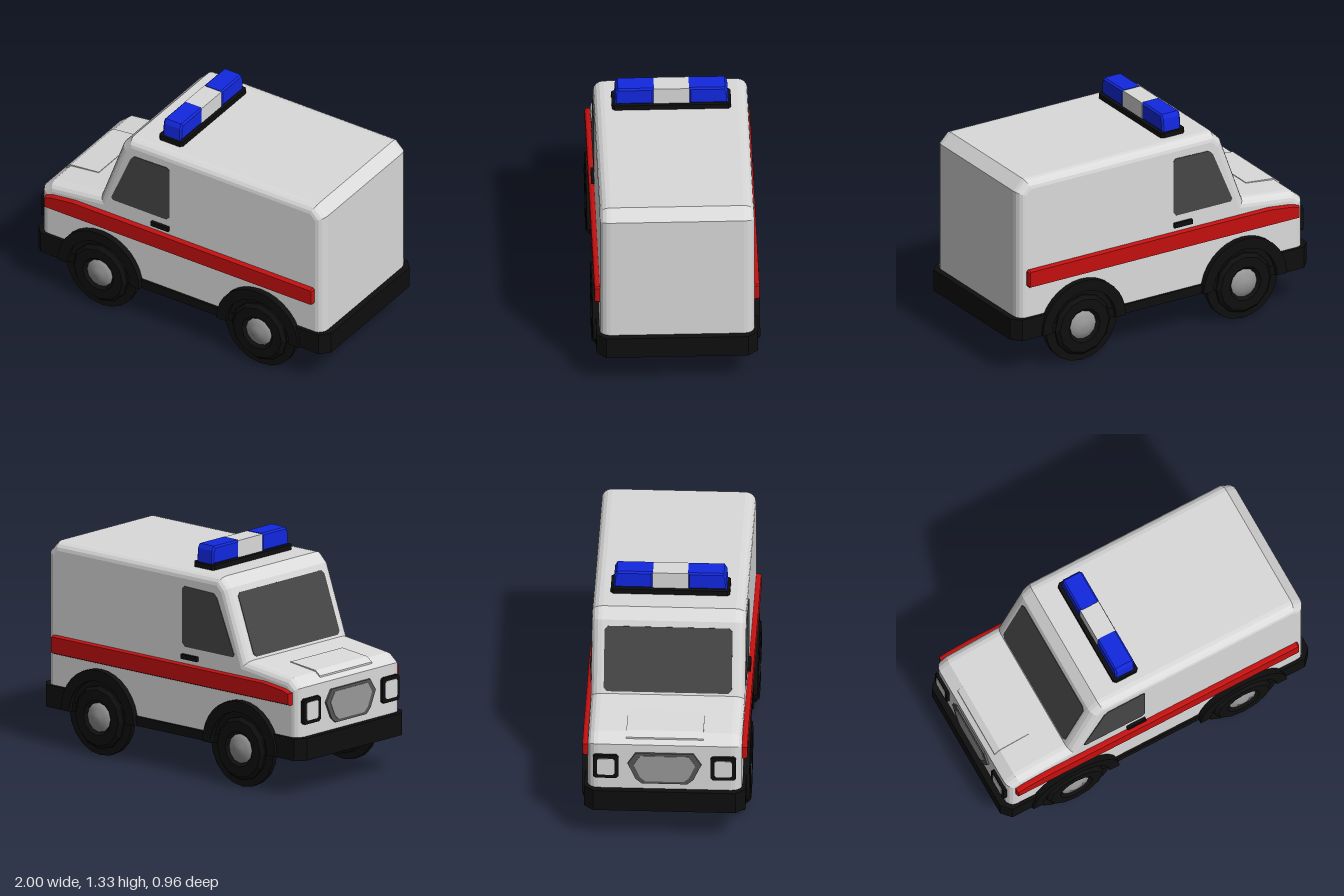
import * as THREE from 'three';

const mat = (name, color, side = THREE.FrontSide) => {
  const m = new THREE.MeshStandardMaterial({ color, side });
  m.name = name;
  return m;
};

// Extruded outline, centred on its depth; bevels stay inside the outline
function slab(pts, depth, bevel = 0, bevelDepth = bevel, segs = 1) {
  const shape = new THREE.Shape(pts.map(([x, y]) => new THREE.Vector2(x, y)));
  const g = new THREE.ExtrudeGeometry(shape, {
    depth: depth - 2 * bevelDepth, bevelEnabled: bevel > 0,
    bevelSize: bevel, bevelThickness: bevelDepth, bevelOffset: -bevel, bevelSegments: segs,
  });
  return g.translate(0, 0, bevelDepth - depth / 2);
}

// Rectangle outline with cut corners
const cutRect = (x0, y0, x1, y1, c) => [
  [x0 + c, y0], [x1 - c, y0], [x1, y0 + c], [x1, y1 - c],
  [x1 - c, y1], [x0 + c, y1], [x0, y1 - c], [x0, y0 + c],
];

export function createModel() {
  const white = mat('body white', 0xdadada);
  const black = mat('trim black', 0x0e0e0e);
  const glass = mat('dark glass', 0x464646);
  const red = mat('stripe red', 0xc41010);
  const blue = mat('beacon blue', 0x1228e0);
  const grey = mat('hub grey', 0x999999);
  const darkGrey = mat('grille frame grey', 0x555555);

  const model = new THREE.Group();
  model.name = 'van';
  const add = (name, geo, m, x = 0, y = 0, z = 0, parent = model) => {
    const mesh = new THREE.Mesh(geo, m);
    mesh.name = name;
    mesh.position.set(x, y, z);
    parent.add(mesh);
    return mesh;
  };
  // One copy on each side of the van
  const addPair = (name, geo, m, x, y, z) => {
    add('left ' + name, geo, m, x, y, z);
    add('right ' + name, geo, m, x, y, -z);
  };
  // Outline drawn in (z, y), thickness along x
  const facing = (pts, depth, bevel = 0) => slab(pts, depth, bevel).rotateY(-Math.PI / 2);

  // Body shell
  add('body', slab([
    [-0.963, 0.19], [0.963, 0.19], [0.963, 1.09], [0.9, 1.153], [-0.36, 1.153],
    [-0.418, 1.096], [-0.565, 0.692], [-0.9, 0.652], [-0.963, 0.6],
  ], 0.88, 0.05, 0.06, 4), white);
  add('hood panel', slab([
    [-0.935, 0.61], [-0.71, 0.65], [-0.71, 0.679], [-0.9, 0.66], [-0.935, 0.633],
  ], 0.44), white);

  // Underside tray and bumpers
  const tray = slab(cutRect(-0.98, -0.452, 0.98, 0.452, 0.04), 0.055).rotateX(Math.PI / 2);
  add('underside tray', tray, black, 0, 0.2085);
  const bumper = slab([
    [-1, -0.405], [-0.95, -0.46], [-0.76, -0.46], [-0.76, 0.46], [-0.95, 0.46], [-1, 0.405],
  ], 0.13).rotateX(Math.PI / 2);
  add('front bumper', bumper, black, 0, 0.245);
  add('rear bumper', bumper, black, 0, 0.245).rotation.y = Math.PI;

  // Wheels and arches
  const archShape = new THREE.Shape();
  archShape.absarc(0, 0, 0.28, 0, Math.PI, false);
  archShape.absarc(0, 0, 0.215, Math.PI, 0, true);
  const arch = new THREE.ExtrudeGeometry(archShape, { depth: 0.06, bevelEnabled: false, curveSegments: 8 })
    .translate(0, 0, -0.03);
  const well = new THREE.CylinderGeometry(0.24, 0.24, 0.03, 20).rotateX(Math.PI / 2);
  const lathe = (pts, n) => new THREE.LatheGeometry(pts.map(p => new THREE.Vector2(...p)), n).rotateX(Math.PI / 2);
  const tyre = lathe([
    [0, -0.066], [0.165, -0.066], [0.185, -0.045], [0.185, 0.045], [0.165, 0.066], [0.105, 0.066], [0.085, 0.045], [0, 0.045],
  ], 12).toNonIndexed();
  tyre.computeVertexNormals();
  const hub = lathe([[0.088, 0.03], [0.085, 0.052], [0.05, 0.056], [0.035, 0.066], [0, 0.068]], 12);
  for (const [end, x] of [['front', -0.543], ['rear', 0.543]]) {
    addPair(end + ' arch', arch, black, x, 0.185, 0.447);
    addPair(end + ' wheel well', well, black, x, 0.2, 0.43);
    for (const s of [1, -1]) {
      const wheel = new THREE.Group();
      wheel.name = `${s > 0 ? 'left' : 'right'} ${end} wheel`;
      wheel.position.set(x, 0.185, s * 0.412);
      wheel.rotation.y = s > 0 ? 0 : Math.PI;
      add('tyre', tyre, black, 0, 0, 0, wheel);
      add('hub', hub, grey, 0, 0, 0, wheel);
      model.add(wheel);
    }
  }

  // Side stripe, window and door handle
  addPair('stripe', slab([
    [-0.92, 0.5], [0.9, 0.5], [0.91, 0.51], [0.91, 0.597], [0.9, 0.606], [-0.72, 0.606], [-0.87, 0.588], [-0.92, 0.572],
  ], 0.07, 0.006, 0.012), red, 0, 0, 0.435);
  addPair('side window', slab([
    [-0.465, 0.705], [-0.1, 0.705], [-0.08, 0.725], [-0.08, 1.045], [-0.095, 1.06],
    [-0.32, 1.055], [-0.345, 1.03], [-0.476, 0.72],
  ], 0.008), glass, 0, 0, 0.44);
  addPair('door handle', new THREE.BoxGeometry(0.12, 0.028, 0.04), black, -0.14, 0.648, 0.438);

  // Windscreen on the slope
  const screen = add('windscreen', facing(cutRect(-0.365, -0.19, 0.365, 0.19, 0.02), 0.008), glass, -0.495, 0.884);
  screen.rotation.z = -Math.atan2(0.147, 0.404);

  // Grille and headlights
  const grille = s => [
    [-0.13, -0.1], [0.13, -0.1], [0.165, -0.07], [0.21, 0.03], [0.165, 0.1],
    [-0.165, 0.1], [-0.21, 0.03], [-0.165, -0.07],
  ].map(([z, y]) => [z * s, y * s]);
  add('grille frame', facing(grille(1), 0.02), darkGrey, -0.965, 0.45);
  add('grille', facing(grille(0.84), 0.008), grey, -0.974, 0.45);
  addPair('headlight frame', facing(cutRect(-0.072, -0.075, 0.072, 0.075, 0.012), 0.03), black, -0.965, 0.46, 0.335);
  addPair('headlight lens', facing(cutRect(-0.05, -0.053, 0.05, 0.053, 0.01), 0.008), white, -0.979, 0.46, 0.335);

  // Roof light bar
  add('light bar base', slab(cutRect(-0.08, -0.34, 0.08, 0.34, 0.015), 0.035).rotateX(Math.PI / 2),
    black, -0.145, 1.165);
  const beacon = facing([[0.1, 0], [0.325, 0], [0.32, 0.08], [0.305, 0.106], [0.1, 0.106]], 0.125, 0.01);
  add('left beacon', beacon, blue, -0.143, 1.18);
  add('right beacon', beacon, blue, -0.143, 1.18).rotation.y = Math.PI;
  add('beacon centre', new THREE.BoxGeometry(0.118, 0.1, 0.206), white, -0.143, 1.232);

  return model;
}
